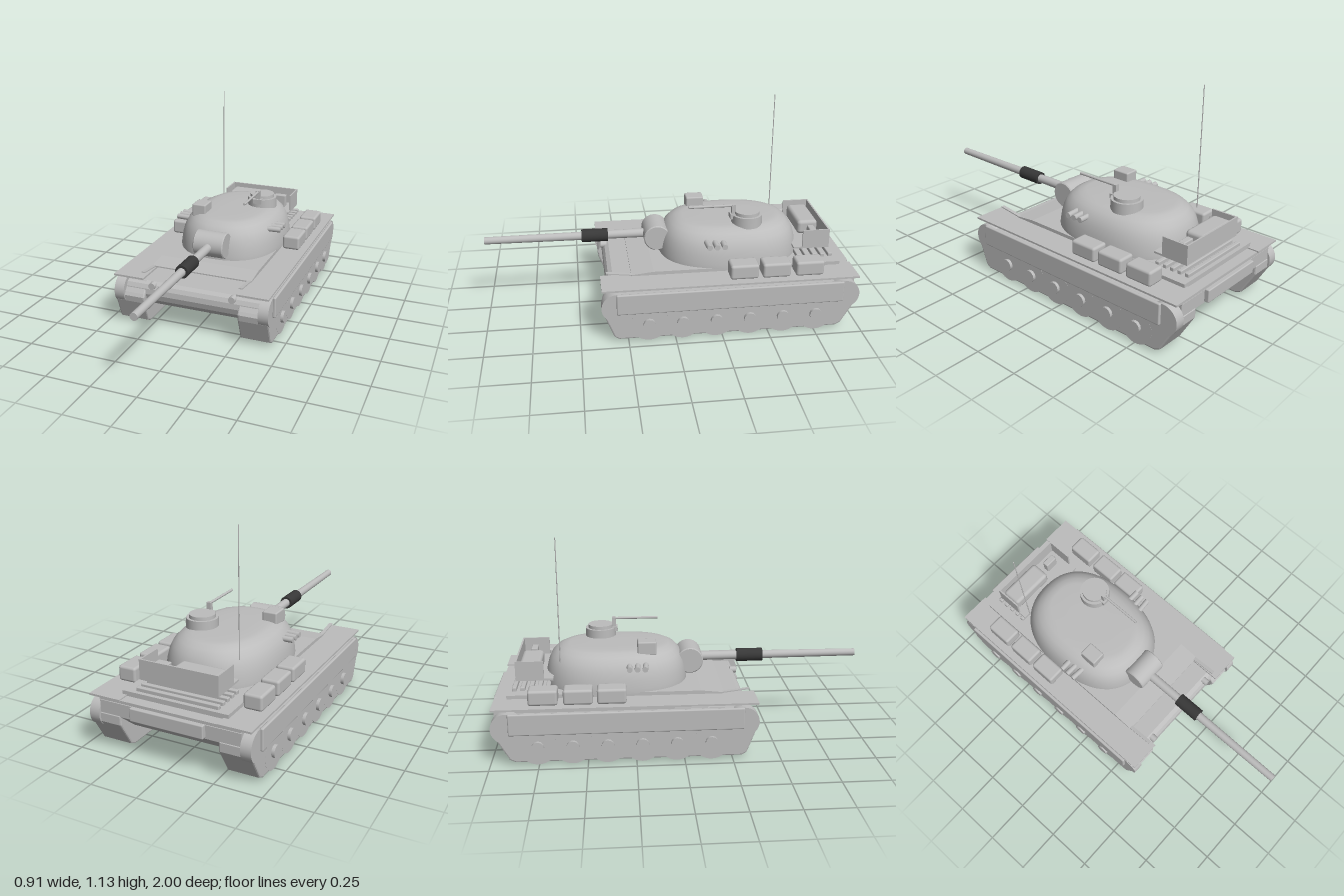
import * as THREE from 'three';
import { mergeVertices } from 'three/addons/utils/BufferGeometryUtils.js';
import { RoundedBoxGeometry } from 'three/addons/geometries/RoundedBoxGeometry.js';

const armour = new THREE.MeshStandardMaterial({ color: 0xbcbcbc });
armour.name = 'armour grey';
const dark = new THREE.MeshStandardMaterial({ color: 0x383838 });
dark.name = 'dark grey';

export function createModel() {
  const root = new THREE.Group();
  root.name = 'tank';

  function add(name, geo, x = 0, y = 0, z = 0, mat = armour) {
    const m = new THREE.Mesh(geo, mat);
    m.name = name;
    m.position.set(x, y, z);
    root.add(m);
    return m;
  }
  // Box given by its limits on each axis, optionally rounded
  function box(name, [x0, x1], [y0, y1], [z0, z1], r = 0) {
    const s = [x1 - x0, y1 - y0, z1 - z0];
    const geo = r ? new RoundedBoxGeometry(...s, 2, r) : new THREE.BoxGeometry(...s);
    return add(name, geo, (x0 + x1) / 2, (y0 + y1) / 2, (z0 + z1) / 2);
  }
  // Side profile of [z, y] points, extruded to a width across x
  function profile(name, pts, width, x = 0, bevel = 0) {
    const shape = new THREE.Shape(pts.map(p => new THREE.Vector2(...p)));
    const geo = new THREE.ExtrudeGeometry(shape, {
      depth: width - 2 * bevel, bevelEnabled: bevel > 0, bevelSize: bevel,
      bevelOffset: -bevel, bevelThickness: bevel, bevelSegments: 2,
    });
    geo.translate(0, 0, -width / 2 + bevel).rotateY(-Math.PI / 2);
    return add(name, geo, x);
  }
  const acrossX = (r0, r1, len, n = 24) => new THREE.CylinderGeometry(r0, r1, len, n).rotateZ(-Math.PI / 2);
  const alongZ = (front, back, len, n = 24) => new THREE.CylinderGeometry(front, back, len, n).rotateX(Math.PI / 2);

  // Hull
  profile('lowerHull', [[-0.87, 0.12], [0.28, 0.12], [0.318, 0.137], [0.343, 0.167], [0.353, 0.2], [0.35, 0.23],
    [0.338, 0.252], [0.315, 0.265], [0.1, 0.268], [-0.95, 0.295], [-0.975, 0.28], [-0.975, 0.21]], 0.77);
  profile('upperHull', [[-0.92, 0.265], [0.1, 0.265], [0.22, 0.305], [0.22, 0.312], [0.1, 0.325], [-0.92, 0.325]], 0.58);
  box('rearDeck', [-0.385, 0.385], [0.285, 0.3], [-0.978, -0.9]);
  box('rearPanel', [-0.2, 0.2], [0.215, 0.285], [-1, -0.97], 0.006);
  for (let i = 0; i < 5; i++) {
    const z = -0.71 - i * 0.044;
    box('engineSlat', [-0.227, 0.227], [0.32, 0.345], [z - 0.012, z + 0.012], 0.005);
  }

  // Running gear and fenders on both sides
  for (const s of [1, -1]) {
    const span = (a, b) => (s > 0 ? [a, b] : [-b, -a]);
    profile('track', [[-0.87, 0.015], [0.3, 0.015], [0.325, 0.03], [0.372, 0.15], [0.378, 0.185], [0.368, 0.203],
      [0.32, 0.265], [-0.93, 0.265], [-0.978, 0.21], [-0.978, 0.165], [-0.9, 0.03]], 0.172, s * 0.354, 0.008);
    for (const z of [0.308, -0.91]) add('endDrum', acrossX(0.081, 0.081, 0.056, 32), s * 0.412, 0.201, z);
    for (let i = 0; i < 6; i++) {
      const z = 0.14 - i * 0.179;
      add('roadWheel', acrossX(0.096, 0.096, 0.034, 32), s * 0.4235, 0.098, z);
      add('wheelHub', acrossX(0.033, 0.033, 0.022, 12), s * 0.446, 0.098, z);
    }
    box('sideSkirt', span(0.436, 0.455), [0.168, 0.284], [-0.9, 0.31], 0.007);
    box('fender', span(0.265, 0.44), [0.296, 0.306], [-0.985, 0.385]);
    // Thin guard strip rising toward the fender front
    const strip = box('guardStrip', span(0.268, 0.288), [0.311, 0.317], [0.14, 0.355]);
    strip.rotation.x = -0.12;
    for (const z of [-0.372, -0.545, -0.725])
      box('stowageBox', span(0.3, 0.4), [0.305, 0.386], [z - 0.076, z + 0.076], 0.014);
    add('headlight', alongZ(0.019, 0.019, 0.035), s * 0.23, 0.252, 0.342);
    // Smoke launchers
    for (let i = 0; i < 3; i++) {
      const tube = add('smokeLauncher', acrossX(0.015, 0.015, 0.08, 16), s * 0.278, 0.459, -0.193 - i * 0.042);
      tube.rotation.y = s * (0.08 - i * 0.04);
    }
  }

  // Turret shell: a lathe reshaped into a long rounded oval
  const shell = new THREE.LatheGeometry([[1, 0.32], [0.998, 0.345], [0.975, 0.39], [0.94, 0.43], [0.88, 0.468],
    [0.785, 0.497], [0.67, 0.514], [0.55, 0.52], [0.3, 0.521], [0, 0.521]].map(p => new THREE.Vector2(...p)), 64);
  const pos = shell.attributes.position;
  for (let i = 0; i < pos.count; i++) {
    const x = pos.getX(i), z = pos.getZ(i), r = Math.hypot(x, z);
    if (r < 1e-6) continue;
    const k = Math.pow(Math.abs(x / r) ** 2.4 + Math.abs(z / r) ** 2.4, -1 / 2.4);
    const halfLength = 0.295 * r + 0.092 * Math.min(1, r / 0.55);
    pos.setX(i, x * k * 0.298);
    pos.setZ(i, (z / r) * k * halfLength);
  }
  shell.deleteAttribute('uv');
  shell.deleteAttribute('normal');
  const smoothShell = mergeVertices(shell, 1e-4);
  smoothShell.computeVertexNormals();
  add('turret', smoothShell, 0, 0, -0.345);

  // Mantlet and gun
  add('mantlet', acrossX(0.072, 0.072, 0.165, 40), 0, 0.423, 0.058);
  for (const s of [1, -1])
    add('mantletEdge', acrossX(s > 0 ? 0.067 : 0.072, s > 0 ? 0.072 : 0.067, 0.005, 40), s * 0.085, 0.423, 0.058);
  add('gunBarrel', alongZ(0.02, 0.025, 0.9), 0, 0.422, 0.55);
  add('barrelSleeve', alongZ(0.036, 0.036, 0.145), 0, 0.422, 0.398, dark);

  // Cupola with its machine gun
  add('cupola', new THREE.CylinderGeometry(0.084, 0.085, 0.06, 32), 0.127, 0.537, -0.43);
  add('cupolaHatch', new THREE.CylinderGeometry(0.069, 0.07, 0.02, 32), 0.127, 0.575, -0.43);
  box('gunMount', [0.102, 0.152], [0.545, 0.572], [-0.365, -0.335]);
  box('gunPost', [0.114, 0.14], [0.56, 0.622], [-0.366, -0.345]);
  add('machineGun', alongZ(0.007, 0.007, 0.25, 12), 0.127, 0.615, -0.235);

  // Sight and antenna
  box('sight', [-0.2, -0.118], [0.495, 0.57], [-0.232, -0.132], 0.008);
  add('antenna', new THREE.CylinderGeometry(0.0025, 0.003, 0.665, 8), -0.2, 0.802, -0.64);

  // Rear stowage basket and its contents
  box('basketFloor', [-0.217, 0.217], [0.378, 0.388], [-0.877, -0.68]);
  box('basketBack', [-0.217, 0.217], [0.378, 0.484], [-0.877, -0.868]);
  for (const x of [-0.2125, 0.2125])
    box('basketSide', [x - 0.0045, x + 0.0045], [0.378, 0.484], [-0.87, -0.728]);
  box('bedroll', [-0.2, 0.053], [0.385, 0.465], [-0.86, -0.745], 0.02);
  box('canister', [0.09, 0.165], [0.385, 0.46], [-0.822, -0.785], 0.006);

  return root;
}
